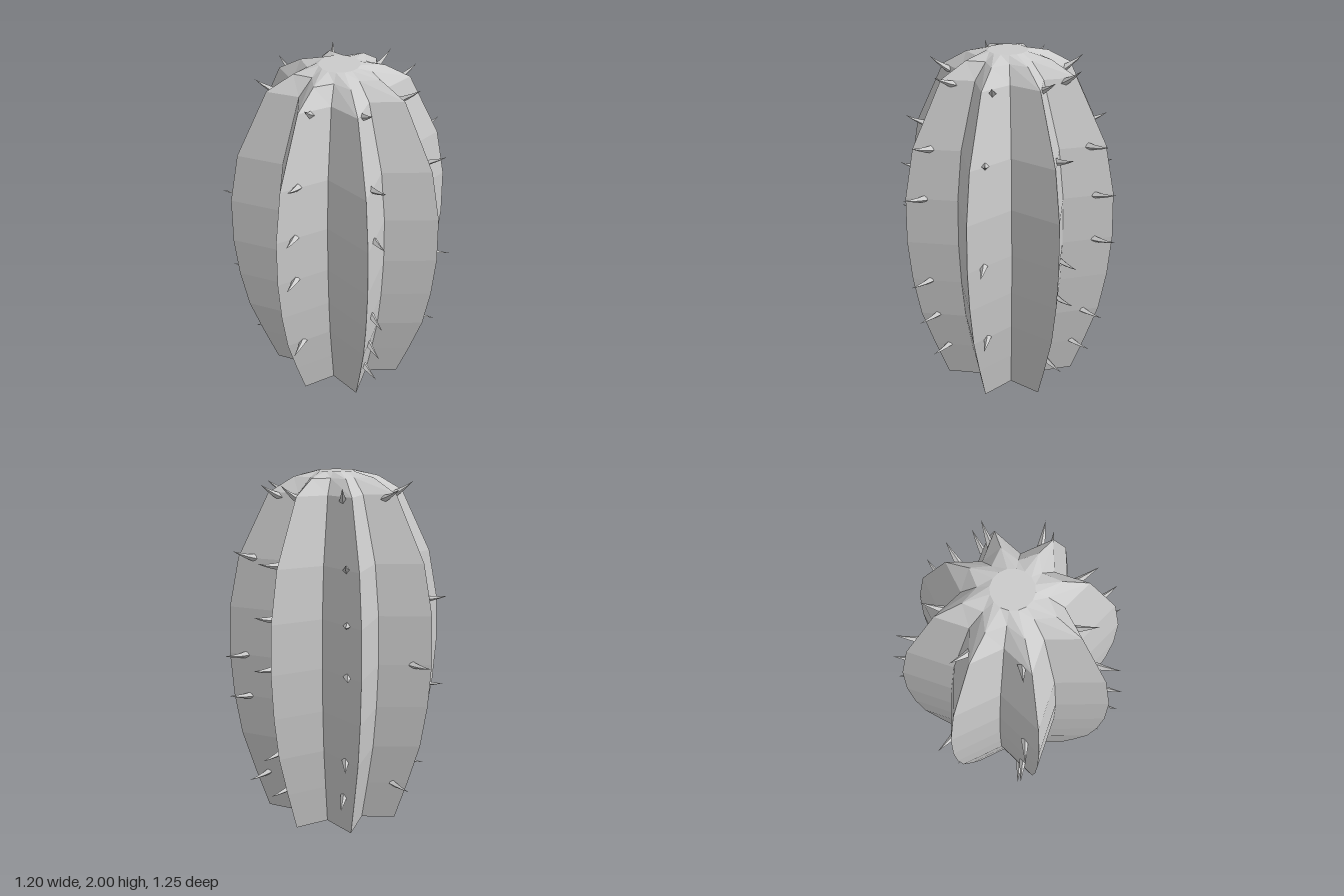
import * as THREE from 'three';

const CENTRE = new THREE.Vector3(-0.035, 0, 0.007);
const GROOVE = 0.655; // groove radius as a share of the ridge radius

// Ridge radius, height and groove share for each level, bottom to top
const LEVELS = [
  [0.417, 0, GROOVE], [0.495, 0.25, GROOVE], [0.566, 0.5, GROOVE], [0.602, 0.75, GROOVE],
  [0.617, 1, GROOVE], [0.605, 1.27, GROOVE], [0.547, 1.545, GROOVE], [0.373, 1.89, GROOVE],
  [0.235, 1.97, 0.7], [0.105, 2, 1],
];

// Levels carrying a spine on each ridge, going round from the +x +z ridge
const SPINES = [
  [1, 3, 4, 6, 7], [2, 4, 6, 7], [1, 2, 3, 5, 6, 7], [2, 4, 5, 6, 7],
  [1, 3, 5, 7], [1, 4, 7], [1, 2, 4, 5, 6, 7], [1, 2, 4, 5, 6, 7],
];

const material = new THREE.MeshStandardMaterial({ color: 0xcccccc, flatShading: true });

function seeded(seed) {
  return () => {
    seed = (seed * 16807) % 2147483647;
    return seed / 2147483647;
  };
}

// Sixteen-sided lathe whose alternate columns are pulled in to form grooves
function makeBody() {
  const rows = [[0, 0, 1], ...LEVELS, [0, 2, 1]];
  const geometry = new THREE.LatheGeometry(rows.map(([r, y]) => new THREE.Vector2(r, y)), 16);
  const pos = geometry.attributes.position;
  for (let i = 0; i < pos.count; i++) {
    const column = Math.floor(i / rows.length);
    if (column % 2 === 1) continue;
    const share = rows[i % rows.length][2];
    pos.setX(i, pos.getX(i) * share);
    pos.setZ(i, pos.getZ(i) * share);
  }
  geometry.computeVertexNormals();
  const body = new THREE.Mesh(geometry, material);
  body.name = 'ribbedBody';
  body.position.copy(CENTRE);
  return body;
}

// Four-sided thorn pointing along +z, bending upward to its tip
function makeSpineGeometry() {
  const length = 0.135;
  const geometry = new THREE.ConeGeometry(0.021, length, 4, 3);
  geometry.translate(0, length / 2, 0).rotateX(Math.PI / 2);
  const pos = geometry.attributes.position;
  for (let i = 0; i < pos.count; i++) {
    const t = pos.getZ(i) / length;
    pos.setY(i, pos.getY(i) + 0.018 * t * t);
  }
  geometry.computeVertexNormals();
  return geometry;
}

function makeSpines() {
  const group = new THREE.Group();
  group.name = 'spines';
  const geometry = makeSpineGeometry();
  const random = seeded(17);
  SPINES.forEach((levels, k) => {
    // Spines sit on one flank of the ridge, mirrored between front and back
    const side = k < 4 ? 1 : -1;
    const ridge = THREE.MathUtils.degToRad(22.5 + 45 * k);
    const angle = ridge - side * 0.1;
    const heading = ridge - side * 0.28;
    for (const level of levels) {
      const [radius, height] = LEVELS[level];
      const r = radius * 0.87 - 0.015;
      const y = level === 7 ? 1.865 : height;
      const lift = (level === 7 ? 0.4 : (height - 1) * 0.3) + (random() - 0.5) * 0.2;
      const turn = heading + (random() - 0.5) * 0.2;
      const spine = new THREE.Mesh(geometry, material);
      spine.name = 'spine';
      spine.position.set(Math.cos(angle) * r, y, Math.sin(angle) * r).add(CENTRE);
      const aim = new THREE.Vector3(Math.cos(turn), Math.tan(lift), Math.sin(turn));
      spine.lookAt(aim.add(spine.position));
      group.add(spine);
    }
  });
  return group;
}

export function createModel() {
  const model = new THREE.Group();
  model.name = 'cactus';
  model.add(makeBody(), makeSpines());
  return model;
}
